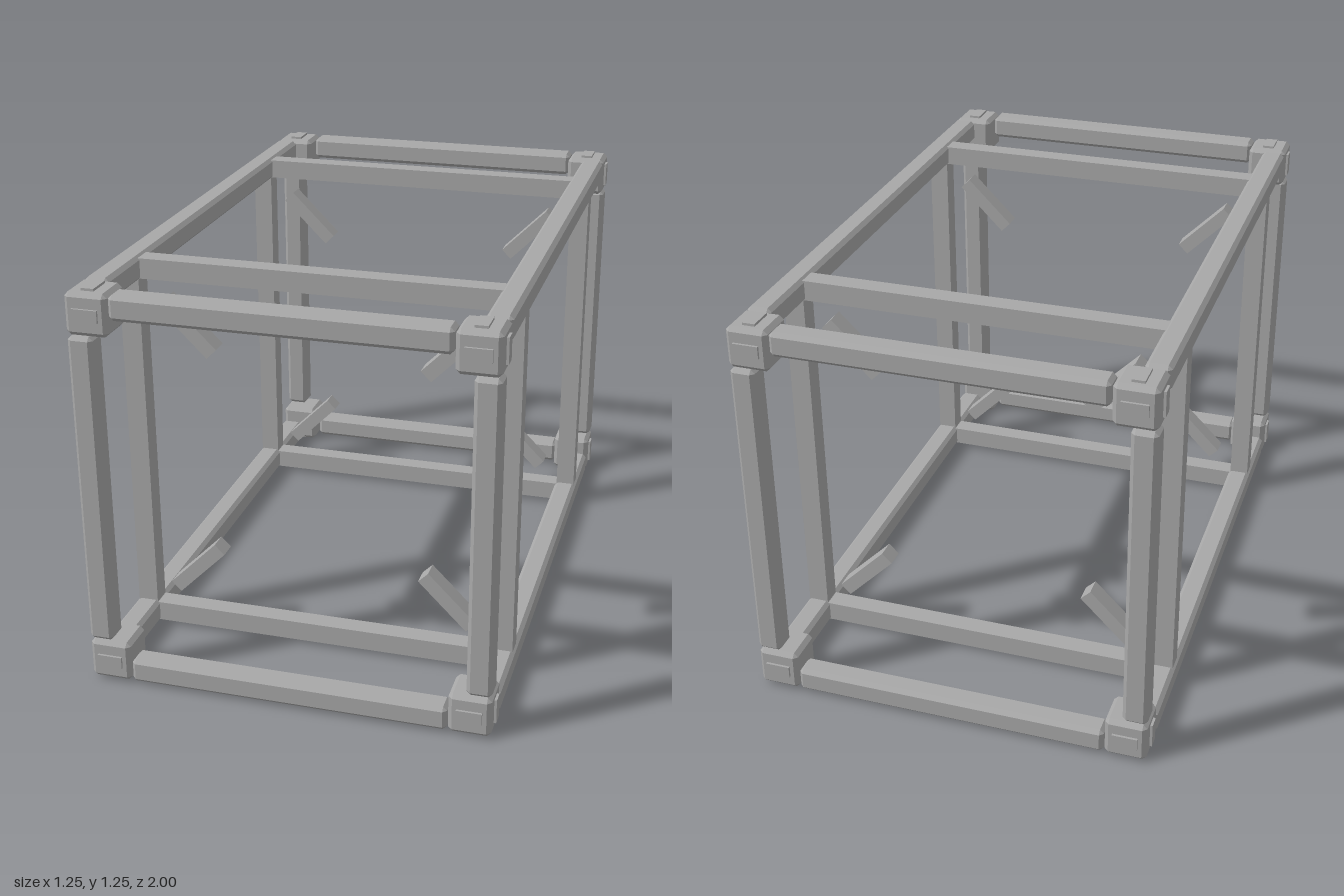
import * as THREE from 'three';
import { ConvexGeometry } from 'three/addons/geometries/ConvexGeometry.js';

// Box with every edge chamfered by c
function chamferBox(w, h, d, c) {
  const pts = [];
  for (const sx of [-1, 1]) for (const sy of [-1, 1]) for (const sz of [-1, 1]) {
    const x = w / 2, y = h / 2, z = d / 2;
    pts.push(
      new THREE.Vector3(sx * x, sy * (y - c), sz * (z - c)),
      new THREE.Vector3(sx * (x - c), sy * y, sz * (z - c)),
      new THREE.Vector3(sx * (x - c), sy * (y - c), sz * z)
    );
  }
  return new ConvexGeometry(pts);
}

export function createModel() {
  const group = new THREE.Group();
  const steel = new THREE.MeshStandardMaterial({ color: 0xa8a8a8 });
  steel.name = 'steelGrey';

  const add = (name, geometry, x, y, z, parent = group) => {
    const mesh = new THREE.Mesh(geometry, steel);
    mesh.name = name;
    mesh.position.set(x, y, z);
    parent.add(mesh);
    return mesh;
  };

  const MID = 0.628;                              // mid height
  const BLOCK = { x: 0.556, y: 0.556, z: 0.929 }; // corner block offsets
  const BEAM = { x: 0.582, y: 0.582, z: 0.954 };  // edge beam offsets
  const S = 0.128, T = 0.076, P = 0.008;

  const block = chamferBox(S, S, S, 0.013);
  const plateX = new THREE.BoxGeometry(P, 0.077, 0.038);
  const plateY = new THREE.BoxGeometry(0.038, P, 0.077);
  const plateZ = new THREE.BoxGeometry(0.077, 0.038, P);
  const off = S / 2 + P / 2 - 0.0005;

  // Corner blocks with a raised plate on each outer face
  for (const sx of [-1, 1]) for (const sy of [-1, 1]) for (const sz of [-1, 1]) {
    const corner = new THREE.Group();
    corner.name = 'corner';
    corner.position.set(sx * BLOCK.x, MID + sy * BLOCK.y, sz * BLOCK.z);
    add('cornerBlock', block, 0, 0, 0, corner);
    add('sidePlate', plateX, sx * off, 0, 0, corner);
    add('capPlate', plateY, 0, sy * off, 0, corner);
    add('endPlate', plateZ, 0, 0, sz * off, corner);
    group.add(corner);
  }

  // Twelve chamfered edge beams
  const beamX = chamferBox(0.978, T, T, 0.012);
  const beamY = chamferBox(T, 0.978, T, 0.012);
  const beamZ = chamferBox(T, T, 1.722, 0.012);
  for (const a of [-1, 1]) for (const b of [-1, 1]) {
    add('crossBeam', beamX, 0, MID + a * BEAM.y, b * BEAM.z);
    add('cornerPost', beamY, a * BEAM.x, MID, b * BEAM.z);
    add('longBeam', beamZ, a * BEAM.x, MID + b * BEAM.y, 0);
  }

  // Two inner frames with a diagonal brace near each corner
  const R = 0.063;
  const post = new THREE.BoxGeometry(R, 1.14, R);
  const bar = new THREE.BoxGeometry(1.14, R, R);
  const brace = new THREE.BoxGeometry(0.215, 0.044, 0.06);
  for (const sz of [-1, 1]) {
    const frame = new THREE.Group();
    frame.name = 'innerFrame';
    frame.position.set(0, MID, sz * 0.605);
    for (const a of [-1, 1]) {
      add('innerPost', post, a * BEAM.x, 0, 0, frame);
      add('innerBar', bar, 0, a * BEAM.y, 0, frame);
      for (const b of [-1, 1]) {
        add('brace', brace, a * 0.406, b * 0.406, 0, frame).rotation.z = a * b * Math.PI / 4;
      }
    }
    group.add(frame);
  }

  return group;
}
